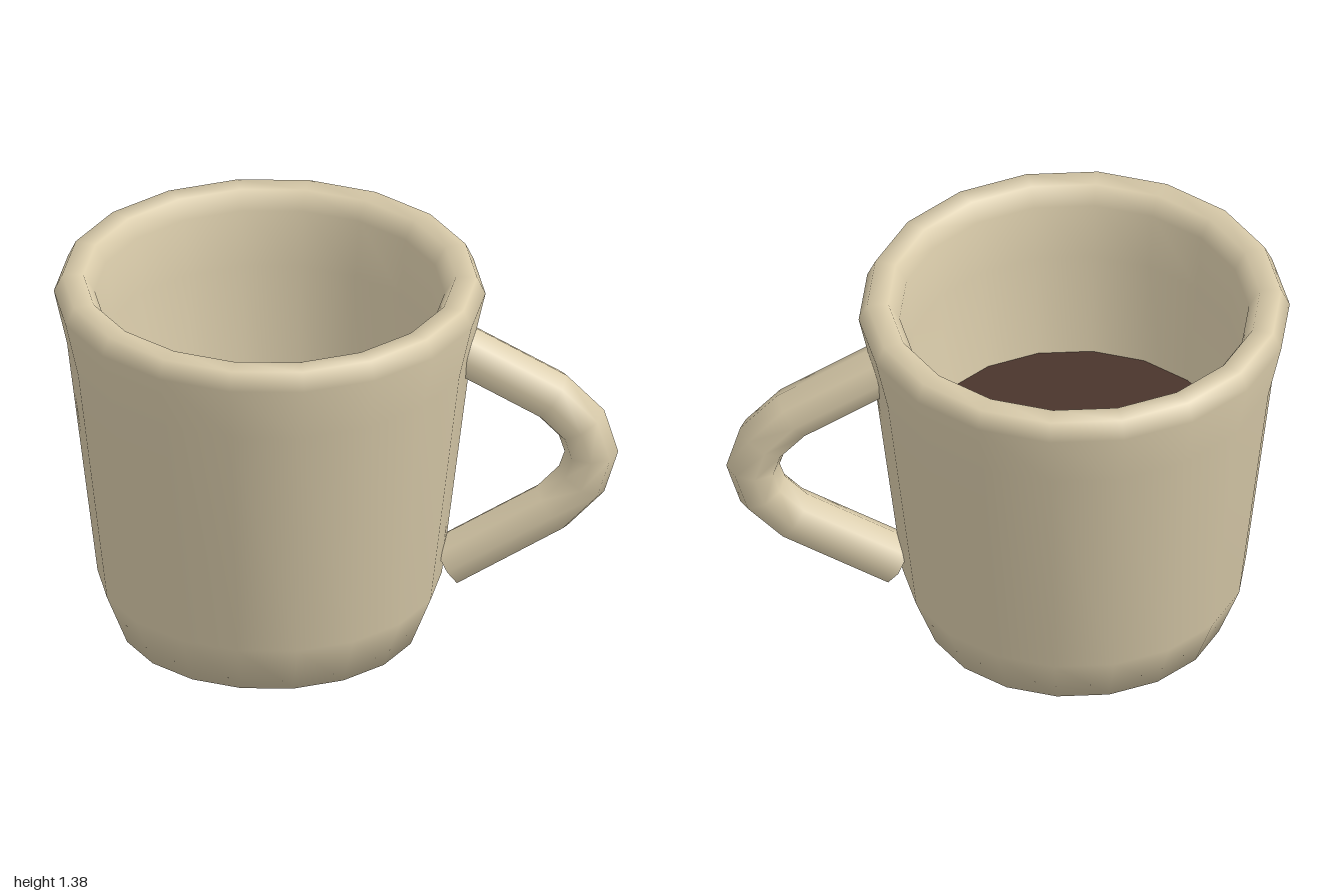
import * as THREE from 'three';

const SIDES = 18;
const CUP_X = -0.235;

export function createModel() {
  const model = new THREE.Group();
  model.name = 'mug';
  const ceramic = new THREE.MeshStandardMaterial({ color: 0xd9cbaa });
  ceramic.name = 'cream ceramic';
  const liquid = new THREE.MeshStandardMaterial({ color: 0x4a342c });
  liquid.name = 'dark coffee';

  const add = (name, geometry, material, parent = model) => {
    const mesh = new THREE.Mesh(geometry, material);
    mesh.name = name;
    parent.add(mesh);
    return mesh;
  };

  // Cup: base, outer wall, rounded rim, inner wall and floor in one profile
  const profile = [
    [0, 0], [0.535, 0], [0.61, 0.19], [0.718, 1.1], [0.765, 1.31], [0.735, 1.375],
    [0.66, 1.375], [0.62, 1.31], [0.597, 1.1], [0.5, 0.22], [0.42, 0.1], [0, 0.1],
  ].map(([r, y]) => new THREE.Vector2(r, y));
  const cup = add('cup', new THREE.LatheGeometry(profile, SIDES, Math.PI / 2), ceramic);
  cup.position.x = CUP_X;

  // Coffee surface, its rim just inside the wall
  const coffee = add('coffee', new THREE.CircleGeometry(0.555, SIDES), liquid);
  coffee.rotation.x = -Math.PI / 2;
  coffee.position.set(CUP_X, 0.71, 0);

  // Handle: eight-sided tube through a few bends, with closed ends
  const handle = new THREE.Group();
  handle.name = 'handle';
  model.add(handle);
  const path = [
    [0.395, 1.12], [0.765, 0.905], [0.87, 0.795], [0.905, 0.68],
    [0.87, 0.57], [0.765, 0.46], [0.395, 0.24],
  ].map(([x, y]) => new THREE.Vector3(x, y, 0));
  const last = path.length - 1;

  class BentPath extends THREE.Curve {
    getPoint(t, target = new THREE.Vector3()) {
      const s = THREE.MathUtils.clamp(t, 0, 1) * last;
      const i = Math.min(Math.floor(s), last - 1);
      return target.lerpVectors(path[i], path[i + 1], s - i);
    }
    // Rings fall exactly on the bends
    getPointAt(u, target) { return this.getPoint(u, target); }
    getTangentAt(u, target) { return this.getTangent(u, target); }
  }
  add('handleTube', new THREE.TubeGeometry(new BentPath(), last, 0.095, 8), ceramic, handle);

  for (const [name, end, next] of [['handleTopEnd', 0, 1], ['handleBottomEnd', last, last - 1]]) {
    const cap = add(name, new THREE.CircleGeometry(0.095, 8), ceramic, handle);
    cap.position.copy(path[end]);
    cap.lookAt(path[end].clone().multiplyScalar(2).sub(path[next]));
  }

  return model;
}
